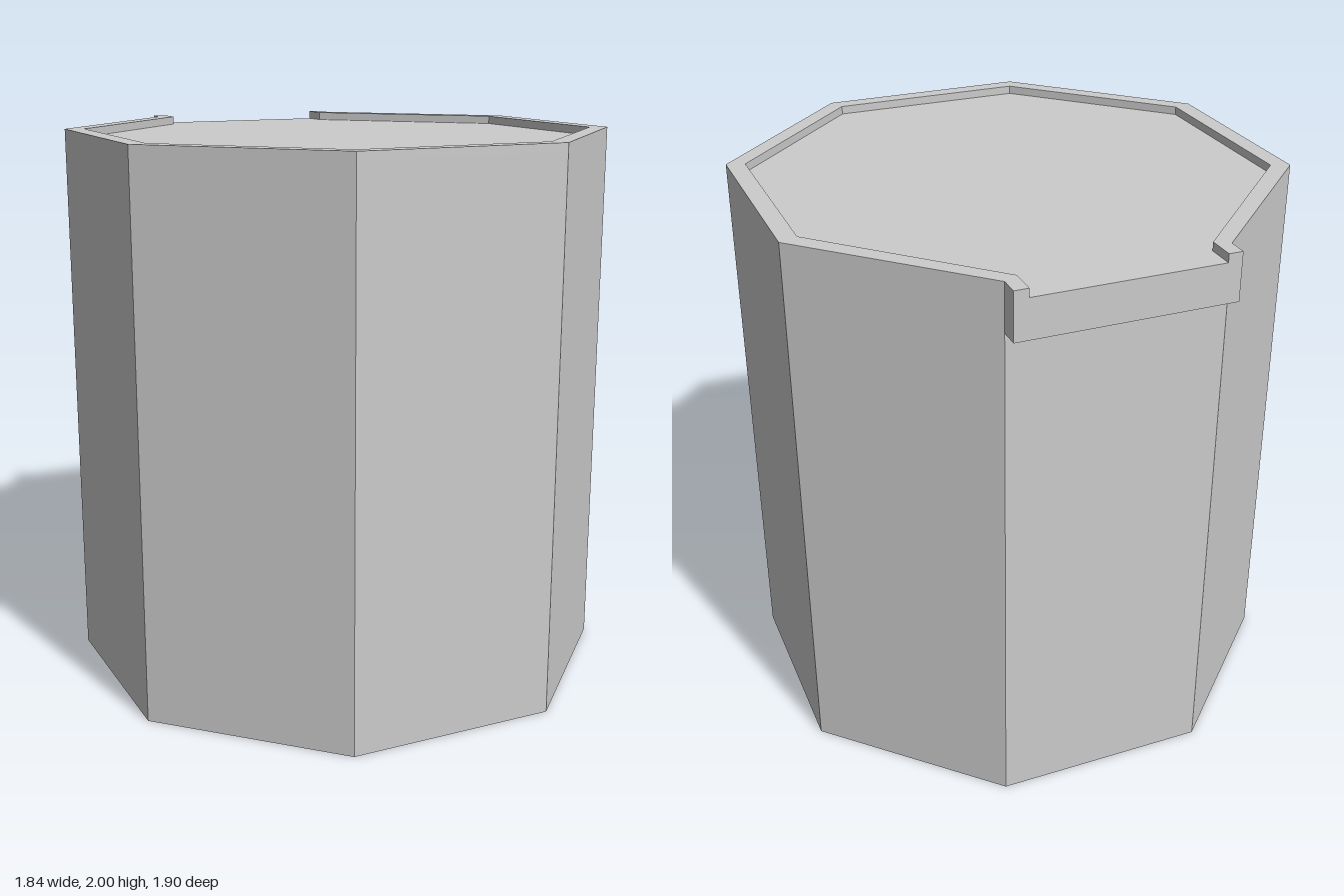
import * as THREE from 'three';

const HEIGHT = 2, FLOOR = 1.97, SPOUT_BOTTOM = 1.83, BACK = -0.95;

// Right-hand half outlines as [x, z], running from back to front
const OUTER = [[0.38, -0.88], [0.92, -0.345], [0.92, 0.41], [0.38, 0.95]];
const INNER = [[0.33, BACK], [0.33, -0.85], [0.855, -0.32], [0.855, 0.39], [0.355, 0.89]];

// Completes a half outline with its mirror image, going round from back to back
const mirrored = (half) => [...half, ...half.map(([x, z]) => [-x, z]).reverse()];

// Vertical prism over an [x, z] outline, between two heights
function prism(name, outline, bottom, top, material) {
  const shape = new THREE.Shape(outline.map(([x, z]) => new THREE.Vector2(x, -z)));
  const geometry = new THREE.ExtrudeGeometry(shape, { depth: top - bottom, bevelEnabled: false });
  geometry.rotateX(-Math.PI / 2);
  geometry.translate(0, bottom, 0);
  const mesh = new THREE.Mesh(geometry, material);
  mesh.name = name;
  return mesh;
}

export function createModel() {
  const group = new THREE.Group();
  group.name = 'octagonalContainer';
  const material = new THREE.MeshStandardMaterial({ color: 0xcccccc, flatShading: true });

  // Solid eight-sided body, its top being the recessed floor
  group.add(prism('body', mirrored(OUTER), 0, FLOOR, material));

  // Ledge jutting out at the back, level with the floor
  const ledge = [[0.38, BACK], [0.38, -0.88]];
  group.add(prism('backLedge', mirrored(ledge), SPOUT_BOTTOM, FLOOR, material));

  // Thin raised rim, open at the back ledge
  const rim = [...mirrored([[0.38, BACK], ...OUTER]), ...mirrored(INNER).reverse()];
  group.add(prism('rim', rim, FLOOR, HEIGHT, material));

  return group;
}
